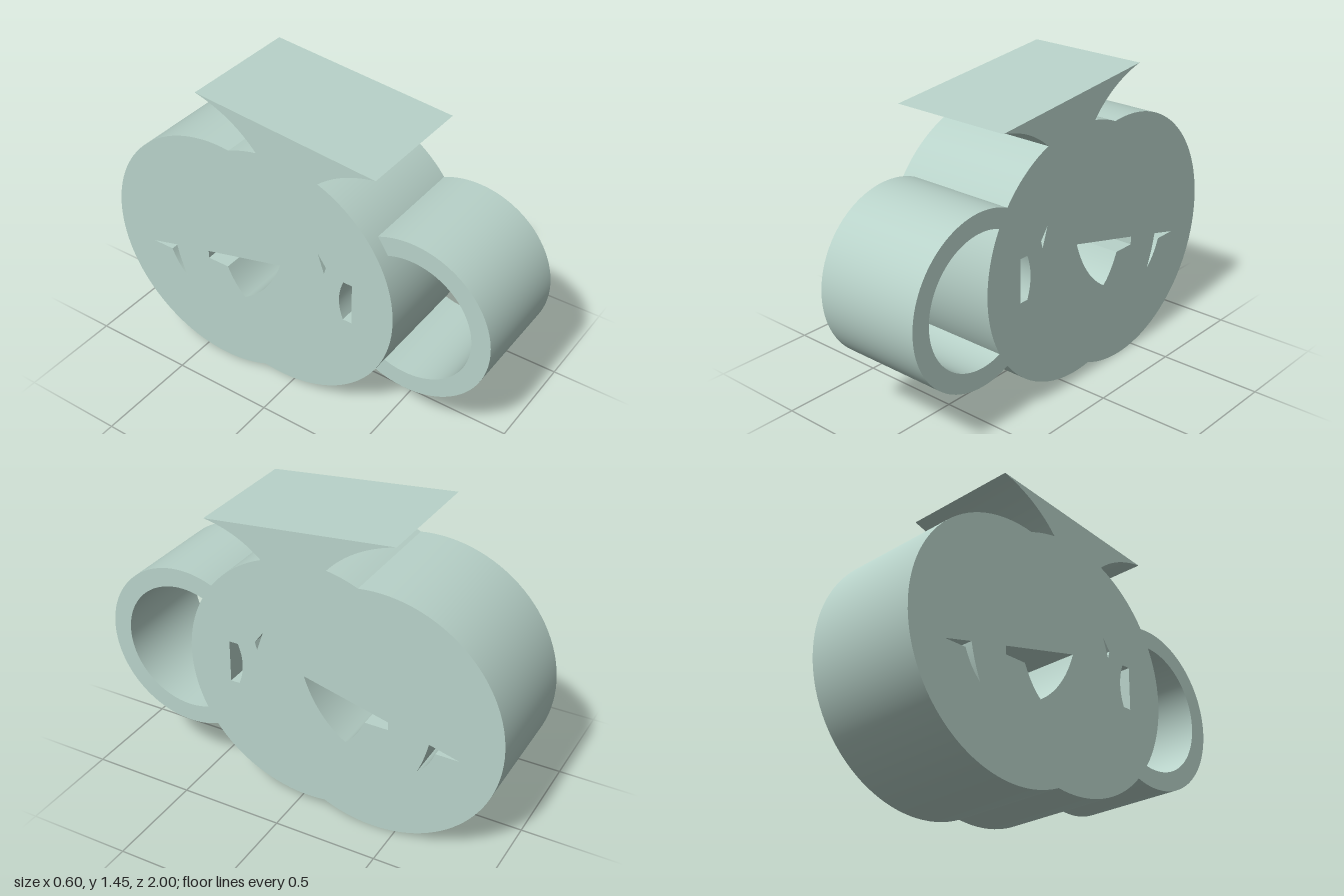
import * as THREE from 'three';
import { toCreasedNormals } from 'three/addons/utils/BufferGeometryUtils.js';

const material = new THREE.MeshStandardMaterial({ color: 0xb8d2c9 });

// All profile points are [z, y]; the extrusion runs along x.
// Arc about centre c from p to q, with falling angle.
function arc(c, p, q) {
  const a0 = Math.atan2(p[1] - c[1], p[0] - c[0]);
  let a1 = Math.atan2(q[1] - c[1], q[0] - c[0]);
  if (a1 > a0) a1 -= 2 * Math.PI;
  const r0 = Math.hypot(p[0] - c[0], p[1] - c[1]);
  const r1 = Math.hypot(q[0] - c[0], q[1] - c[1]);
  const n = Math.max(4, Math.ceil((a0 - a1) / 0.06));
  return Array.from({ length: n + 1 }, (_, i) => {
    const t = i / n, a = a0 + (a1 - a0) * t, r = r0 + (r1 - r0) * t;
    return [c[0] + r * Math.cos(a), c[1] + r * Math.sin(a)];
  });
}

// Quadratic curve from p to q, pulled towards k.
function bend(p, k, q) {
  const v = (a) => new THREE.Vector2(...a);
  return new THREE.QuadraticBezierCurve(v(p), v(k), v(q)).getPoints(12).map((o) => [o.x, o.y]);
}

// Closed loop of points without doubled neighbours.
function loop(points) {
  const pts = points.map(([z, y]) => new THREE.Vector2(-z, y));
  return pts.filter((p, i) => p.distanceTo(pts[(i + 1) % pts.length]) > 1e-5);
}

function slab(name, outline, holes, x0, x1) {
  const shape = new THREE.Shape(loop(outline));
  shape.holes = holes.map((h) => new THREE.Path(loop(h)));
  const extruded = new THREE.ExtrudeGeometry(shape, { depth: x1 - x0, bevelEnabled: false });
  extruded.translate(0, 0, x0);
  extruded.rotateY(Math.PI / 2);
  const mesh = new THREE.Mesh(toCreasedNormals(extruded, 0.4), material);
  mesh.name = name;
  return mesh;
}

export function createModel() {
  const group = new THREE.Group();
  group.name = 'pumpkinMug';

  // Body: two overlapping lobes with a flared, slanted stem on top
  const frontLobe = [-0.05, 0.66], rearLobe = [-0.385, 0.61];
  const stemFront = [0.17, 1.23], stemRear = [-0.15, 1.262];
  const lowerJoin = [-0.14, 0.055], upperJoin = [-0.3, 1.218];
  const body = [
    ...bend([0.455, 1.36], [0.29, 1.335], stemFront),
    ...arc(frontLobe, stemFront, lowerJoin),
    ...arc(rearLobe, lowerJoin, upperJoin),
    ...arc(frontLobe, upperJoin, stemRear),
    ...bend(stemRear, [-0.27, 1.4], [-0.47, 1.45]),
  ];

  // Carved openings through the body
  const frontSlot = [[0.35, 0.56], [0.35, 0.77], ...bend([0.305, 0.77], [0.262, 0.665], [0.305, 0.56])];
  const smallNick = [[0.171, 0.866], [0.214, 0.807], [0.203, 0.77]];
  const middleCut = [
    [-0.037, 0.705], [-0.455, 0.6], [-0.455, 0.56],
    ...bend([-0.342, 0.56], [-0.3, 0.465], [-0.246, 0.422]),
    ...bend([-0.246, 0.422], [-0.1, 0.515], [-0.037, 0.705]),
  ];
  const rearCut = [
    [-0.652, 0.551], [-0.797, 0.513],
    ...bend([-0.684, 0.513], [-0.655, 0.435], [-0.599, 0.385]),
    ...bend([-0.599, 0.385], [-0.633, 0.46], [-0.652, 0.551]),
  ];
  group.add(slab('body', body, [frontSlot, smallNick, middleCut, rearCut], -0.3, 0.3));

  // Handle: open ring ending on the front lobe, slightly narrower than the body
  const centre = [0.595, 0.663];
  const handle = [
    ...arc(centre, [0.433, 1.034], [0.433, 0.292]),
    ...arc(centre, [0.484, 0.956], [0.484, 0.37]).reverse(),
  ];
  group.add(slab('handle', handle, [], -0.235, 0.3));

  return group;
}
